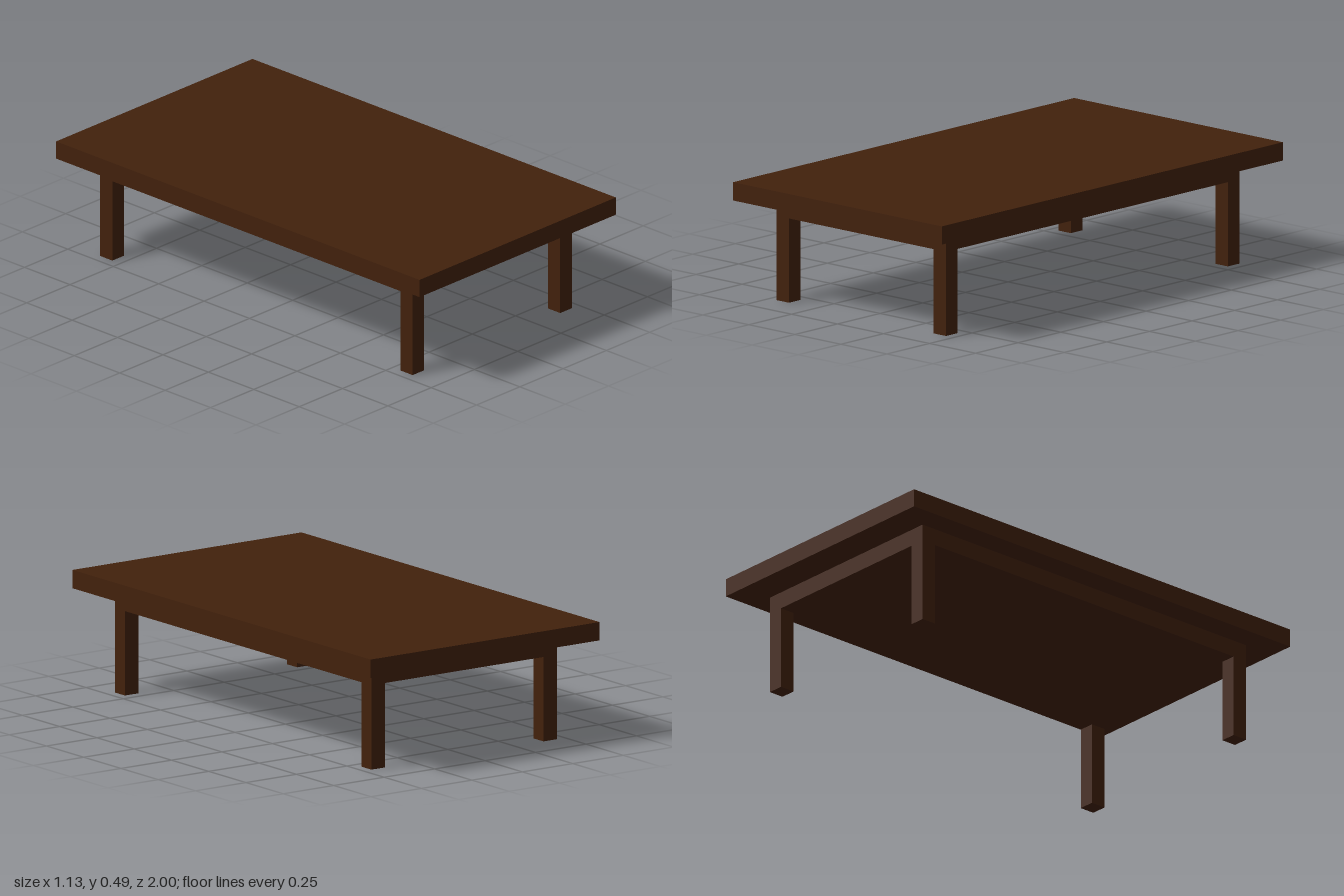
import * as THREE from 'three';

export function createModel() {
  const table = new THREE.Group();
  table.name = 'table';

  const darkWood = new THREE.MeshStandardMaterial({ color: 0x42210c });
  darkWood.name = 'darkWood';

  // Adds a box given its size, its bottom height and its centre on the floor
  function addBox(name, w, h, d, bottom, x = 0, z = 0) {
    const mesh = new THREE.Mesh(new THREE.BoxGeometry(w, h, d), darkWood);
    mesh.name = name;
    mesh.position.set(x, bottom + h / 2, z);
    table.add(mesh);
  }

  const legHeight = 0.345, apronTop = 0.415, top = 0.49;
  const halfX = 0.46, halfZ = 0.86, legSize = 0.067;

  // Slab top and the solid apron below it
  addBox('tableTop', 1.134, top - apronTop, 2, apronTop);
  addBox('apron', halfX * 2, apronTop - legHeight, halfZ * 2, legHeight);

  // Four square legs flush with the apron corners
  for (const sx of [-1, 1]) {
    for (const sz of [-1, 1]) {
      const name = (sz > 0 ? 'front' : 'back') + (sx > 0 ? 'Left' : 'Right') + 'Leg';
      addBox(name, legSize, legHeight, legSize, 0,
        sx * (halfX - legSize / 2), sz * (halfZ - legSize / 2));
    }
  }

  return table;
}
